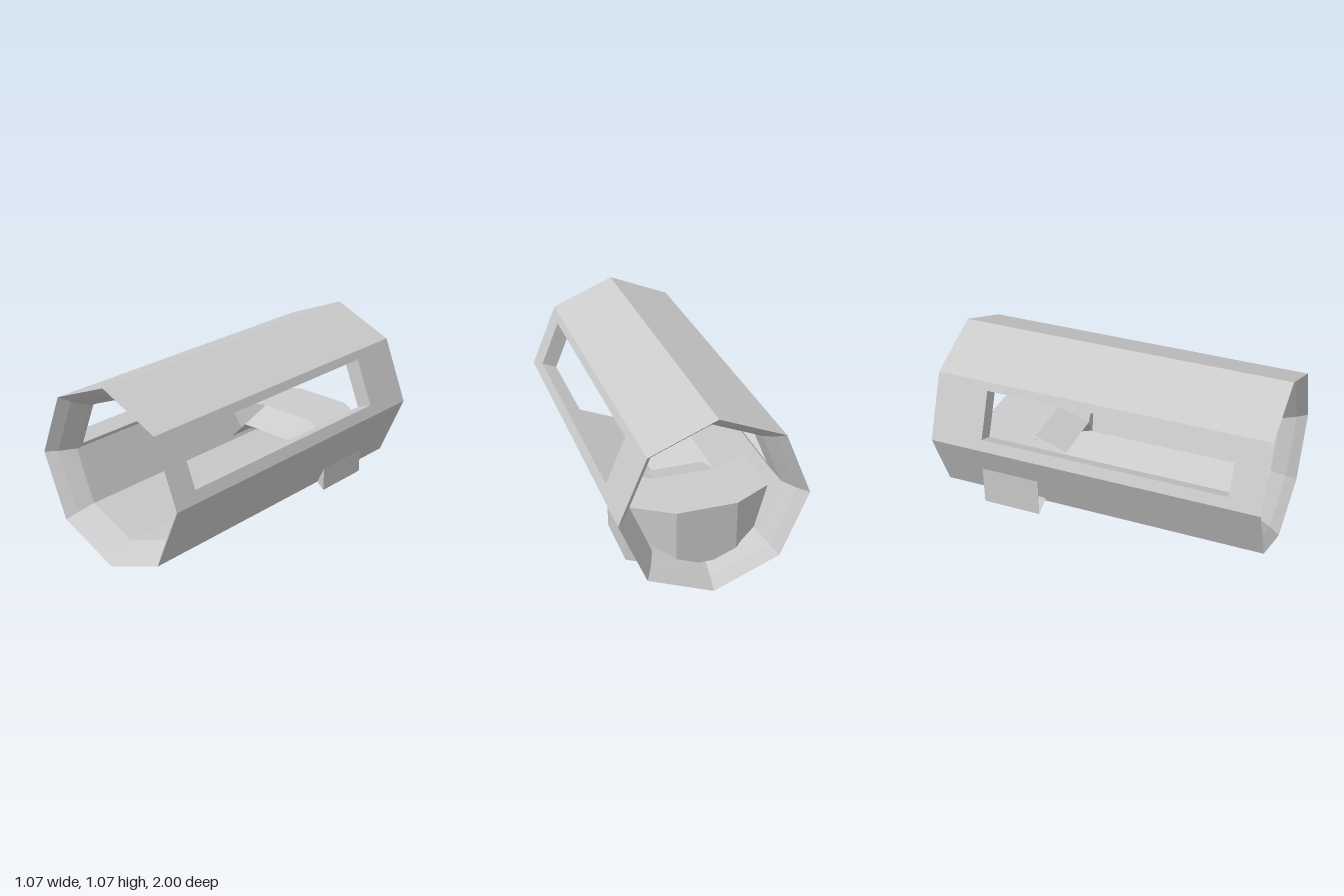
import * as THREE from 'three';

const RADIUS = 0.537, HALF = Math.PI / 8;

// Collects quads (corners counter-clockwise from outside) into a flat-shaded mesh
function meshFromQuads(name, quads) {
  const pos = [];
  for (const [a, b, c, d] of quads) pos.push(...a, ...b, ...c, ...a, ...c, ...d);
  const geometry = new THREE.BufferGeometry();
  geometry.setAttribute('position', new THREE.Float32BufferAttribute(pos, 3));
  geometry.computeVertexNormals();
  const mesh = new THREE.Mesh(geometry, new THREE.MeshStandardMaterial({ color: 0xcccccc, flatShading: true }));
  mesh.name = name;
  return mesh;
}

// One side of the octagonal tube; opening = { front, back, low, high } cuts a window
function tubeSide(index, opening) {
  const mid = HALF * (2 * index + 1);
  const { front, back, low, high } = opening ?? { front: 0.84, back: -0.68, low: 0, high: 0 };
  const point = (z, r, u) => {
    const n = r * Math.cos(HALF);
    return [n * Math.cos(mid) - u * Math.sin(mid), RADIUS + n * Math.sin(mid) + u * Math.cos(mid), z];
  };
  // closed wall profile: outer skin to the front, inner skin with bevelled ends back
  const rows = [
    [-1, RADIUS], [back, RADIUS], [front, RADIUS], [1, RADIUS],
    [0.94, 0.487], [0.85, 0.434], [front, 0.433], [back, 0.428],
    [-0.85, 0.434], [-0.94, 0.487], [-1, RADIUS],
  ];
  const quads = [];
  for (let i = 0; i < rows.length - 1; i++) {
    const [za, ra] = rows[i], [zb, rb] = rows[i + 1];
    const columns = (r) => {
      const e = r * Math.sin(HALF);
      return opening ? [-e, low, high, e] : [-e, e];
    };
    const ua = columns(ra), ub = columns(rb);
    for (let j = 0; j < ua.length - 1; j++) {
      if (opening && j === 1 && (i === 1 || i === 6)) continue;
      quads.push([point(za, ra, ua[j]), point(za, ra, ua[j + 1]), point(zb, rb, ub[j + 1]), point(zb, rb, ub[j])]);
    }
  }
  // window reveal through the wall thickness
  if (opening) {
    const ring = [[back, low, 0.428], [back, high, 0.428], [front, high, 0.433], [front, low, 0.433]];
    ring.forEach(([z, u, r], k) => {
      const [z2, u2, r2] = ring[(k + 1) % 4];
      quads.push([point(z, RADIUS, u), point(z2, RADIUS, u2), point(z2, r2, u2), point(z, r, u)]);
    });
  }
  return quads;
}

export function createModel() {
  const group = new THREE.Group();
  group.name = 'octagonalCabin';

  // Tube with a long window in each upper side wall
  const windows = {
    0: { front: 0.84, back: -0.68, low: -0.137, high: 0.1545 },
    3: { front: 0.81, back: -0.68, low: -0.1545, high: 0.137 },
  };
  const shell = [];
  for (let k = 0; k < 8; k++) shell.push(...tubeSide(k, windows[k]));
  group.add(meshFromQuads('tubeShell', shell));

  // Console across the rear, its ends poking through the walls.
  // Sections run front low, front top, back top, back low as [y, z]
  const end = [[0.11, -0.36], [0.46, -0.36], [0.46, -0.72], [0.11, -0.72]];
  const middle = [[0.39, -0.3], [0.46, -0.5], [0.46, -0.87], [0.11, -0.87]];
  const stations = [[-0.46, end], [-0.175, middle], [0.175, middle], [0.42, end]]
    .map(([x, section]) => section.map(([y, z]) => [x, y, z]));
  const console_ = [stations[0], [...stations[3]].reverse()];
  for (let s = 0; s < 3; s++) {
    for (let j = 0; j < 4; j++) {
      const k = (j + 1) % 4;
      console_.push([stations[s][j], stations[s + 1][j], stations[s + 1][k], stations[s][k]]);
    }
  }
  group.add(meshFromQuads('rearConsole', console_));

  return group;
}
